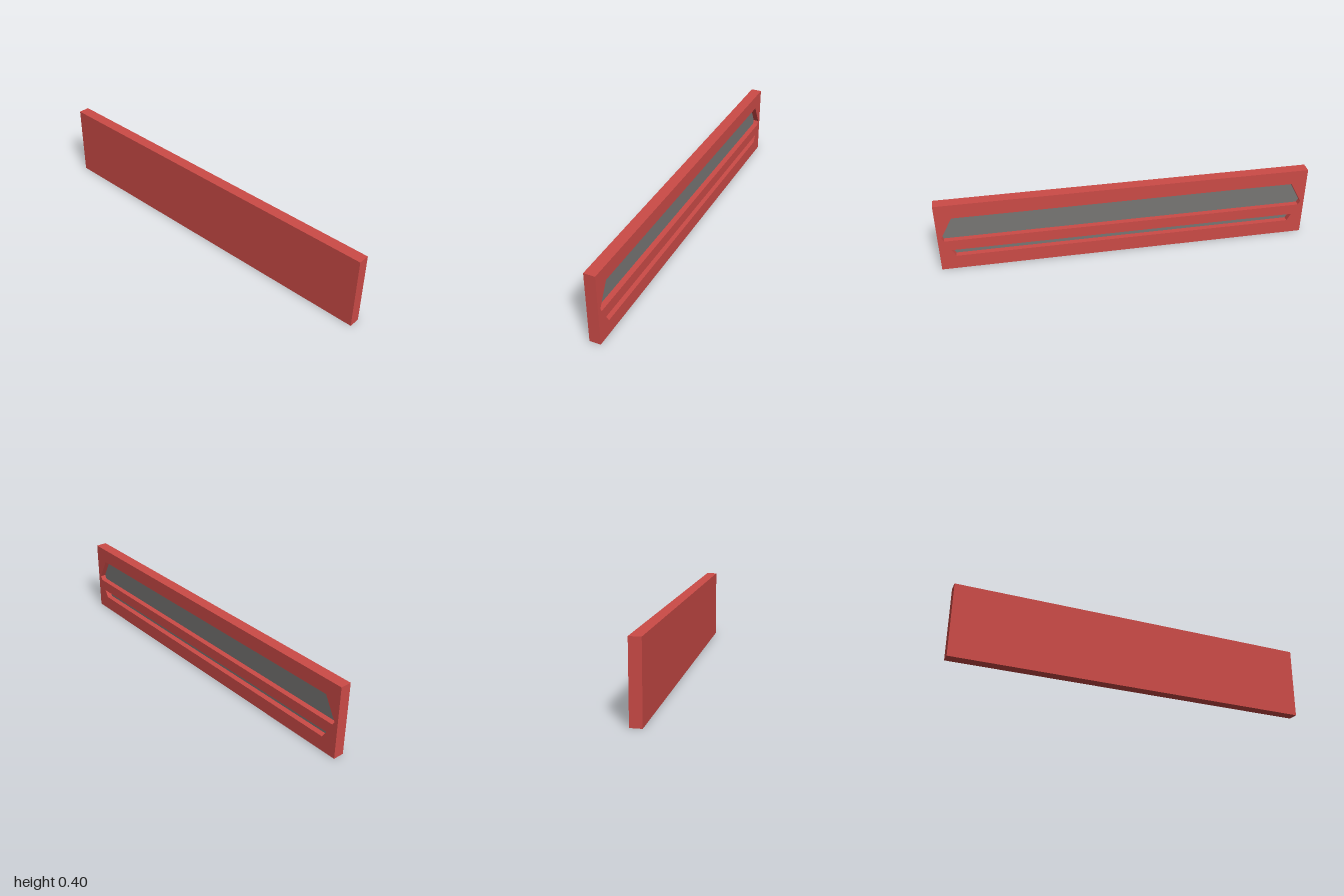
import * as THREE from 'three';

const W = 2, H = 0.4, HALF = 0.03;

// Closed outline from [x, y] pairs
const outline = (Type, pts) => new Type(pts.map(([x, y]) => new THREE.Vector2(x, y)));
// Mirror a right-hand edge (listed bottom to top) into a symmetric outline
const mirrored = (edge) => [...edge, ...edge.map(([x, y]) => [-x, y]).reverse()];

export function createModel() {
  const red = new THREE.MeshStandardMaterial({ color: 0xcc4b47 });
  red.name = 'red';
  const grey = new THREE.MeshStandardMaterial({ color: 0x777674 });
  grey.name = 'grey';
  const model = new THREE.Group();
  model.name = 'panel';

  // Solid front slab; its back face is the grey recess floor
  const slab = new THREE.Mesh(
    new THREE.BoxGeometry(W, H, HALF),
    [red, red, red, red, red, grey]
  );
  slab.name = 'frontSlab';
  slab.position.set(0, H / 2, HALF / 2);
  model.add(slab);

  // Rear frame: a hexagonal recess divided by a flush horizontal bar
  const frame = outline(THREE.Shape, mirrored([[W / 2, 0], [W / 2, H]]));
  frame.holes.push(
    outline(THREE.Path, mirrored([[0.969, 0.18], [0.98, 0.2], [0.915, 0.32]])),
    outline(THREE.Path, mirrored([[0.915, 0.08], [0.937, 0.12]]))
  );
  const rear = new THREE.Mesh(
    new THREE.ExtrudeGeometry(frame, { depth: HALF, bevelEnabled: false }),
    red
  );
  rear.name = 'rearFrame';
  rear.position.z = -HALF;
  model.add(rear);

  return model;
}
